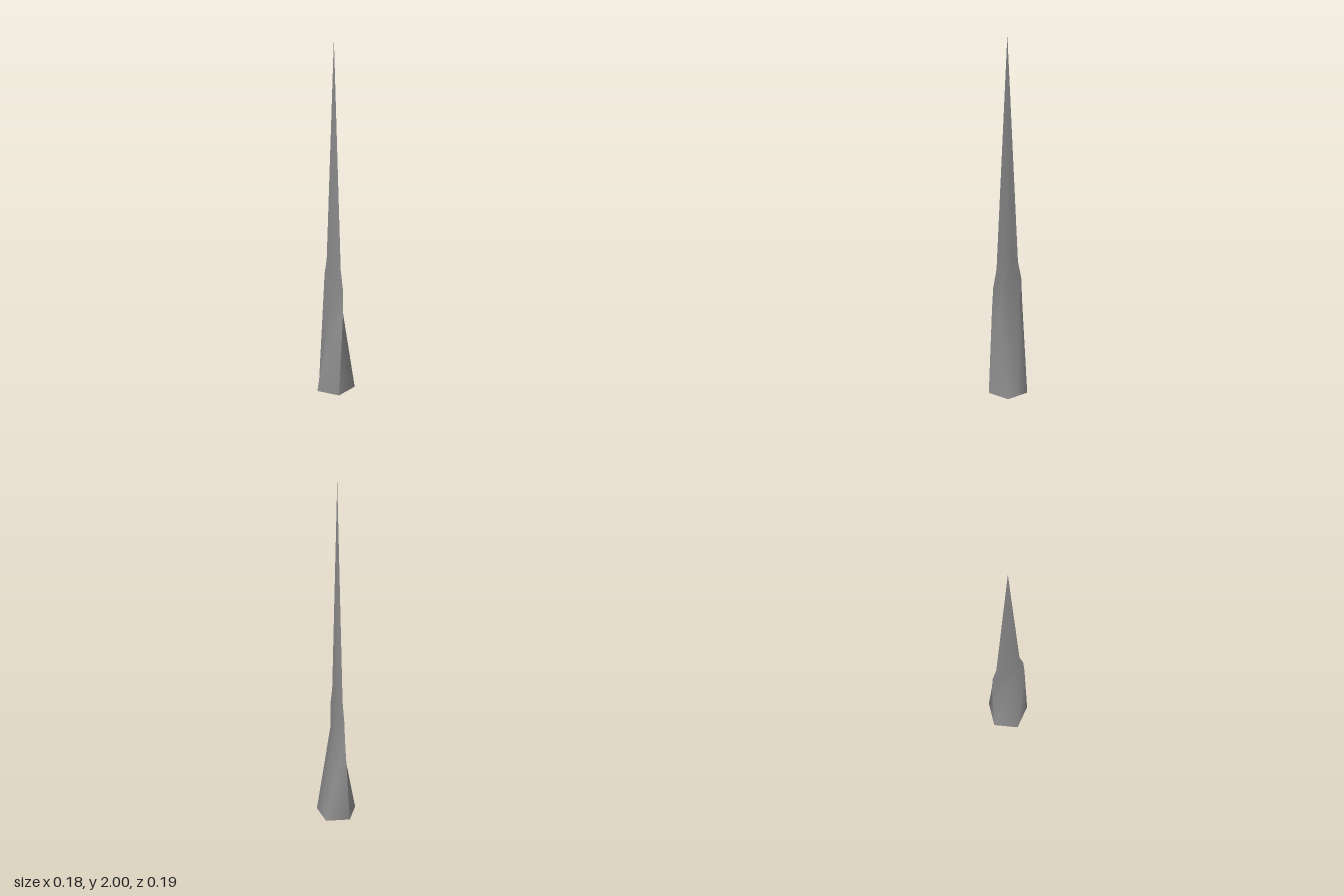
import * as THREE from 'three';
import { toCreasedNormals } from 'three/addons/utils/BufferGeometryUtils.js';

// Six-sided section: left ridge, side edge, right shoulder, right ridge, mirrored in z
function section({ y, left, side, shoulder, right }) {
  const [sx, sz] = side, [hx, hz] = shoulder;
  return [[left, 0], [sx, sz], [hx, hz], [right, 0], [hx, -hz], [sx, -sz]]
    .map(([x, z]) => new THREE.Vector3(x, y, z));
}

// Skin between successive sections, leaving out collapsed triangles
function loft(levels) {
  const rings = levels.map(section);
  const positions = [];
  const triangle = (a, b, c) => {
    if (a.distanceTo(b) < 1e-6 || b.distanceTo(c) < 1e-6 || c.distanceTo(a) < 1e-6) return;
    for (const p of [a, b, c]) positions.push(p.x, p.y, p.z);
  };
  for (let r = 0; r < rings.length - 1; r++) {
    const lo = rings[r], hi = rings[r + 1];
    for (let i = 0; i < lo.length; i++) {
      const j = (i + 1) % lo.length;
      triangle(lo[i], lo[j], hi[j]);
      triangle(lo[i], hi[j], hi[i]);
    }
  }
  const geometry = new THREE.BufferGeometry();
  geometry.setAttribute('position', new THREE.Float32BufferAttribute(positions, 3));
  // Smooth round the five-sided socket, sharp along the blade's cutting edges
  return toCreasedNormals(geometry, 1.4);
}

export function createModel() {
  const group = new THREE.Group();
  group.name = 'spearhead';
  const material = new THREE.MeshStandardMaterial({ color: 0x909090, side: THREE.DoubleSide });

  const blade = new THREE.Mesh(loft([
    // Hollow five-sided socket, open at the bottom
    { y: 0, left: -0.091, side: [-0.022, 0.095], shoulder: [0.091, 0.06], right: 0.091 },
    { y: 0.48, left: -0.008, side: [0.003, 0.094], shoulder: [0.017, 0.06], right: 0.017 },
    // Thin blade with a ridge on both faces, stepping in and tapering to a point
    { y: 0.6, left: -0.006, side: [0.005, 0.088], shoulder: [0.012, 0.035], right: 0.015 },
    { y: 0.7, left: -0.004, side: [0.005, 0.067], shoulder: [0.011, 0.025], right: 0.014 },
    { y: 2, left: 0.006, side: [0.006, 0], shoulder: [0.006, 0], right: 0.006 },
  ]), material);
  blade.name = 'socketedBlade';
  group.add(blade);

  return group;
}
